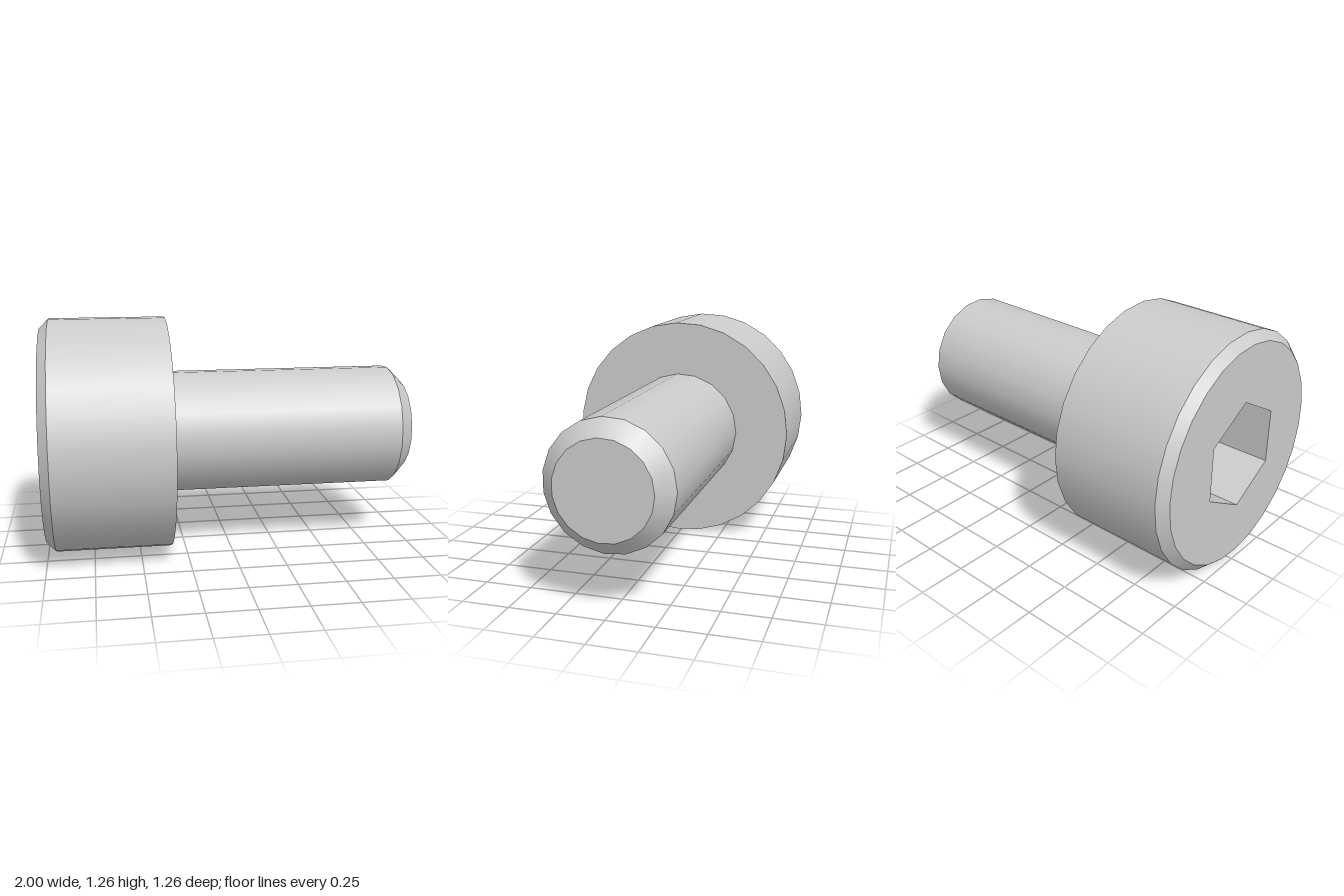
import * as THREE from 'three';
import { mergeGeometries } from 'three/addons/utils/BufferGeometryUtils.js';

const HEAD_SIDES = 27, SHANK_SIDES = 19;
const HEAD_R = 0.633, FACE_R = 0.586, SHANK_R = 0.333, TIP_R = 0.251;
const HEX_R = 0.293, HEX_DEPTH = 0.35;

// Revolve a profile about y; each profile segment is its own band so edges stay sharp
function turned(profile, sides) {
  const bands = [];
  for (let i = 0; i < profile.length - 1; i++) {
    const pair = [profile[i], profile[i + 1]].map(([r, y]) => new THREE.Vector2(r, y));
    bands.push(new THREE.LatheGeometry(pair, sides, Math.PI));
  }
  return mergeGeometries(bands);
}

// Corners of a regular polygon, starting at the given angle
function polygon(radius, sides, start) {
  return Array.from({ length: sides }, (_, i) => {
    const a = start + (i / sides) * Math.PI * 2;
    return new THREE.Vector2(radius * Math.cos(a), radius * Math.sin(a));
  });
}

export function createModel() {
  const model = new THREE.Group();
  model.name = 'socketScrew';
  const grey = new THREE.MeshStandardMaterial({ color: 0xcccccc });
  const inward = new THREE.MeshStandardMaterial({ color: 0xcccccc, flatShading: true, side: THREE.BackSide });

  // Built along y, then laid along x
  const screw = new THREE.Group();
  screw.name = 'screw';
  screw.rotation.z = -Math.PI / 2;
  screw.position.set(0, HEAD_R, 0.002);
  model.add(screw);

  const add = (name, geometry, material = grey) => {
    const mesh = new THREE.Mesh(geometry, material);
    mesh.name = name;
    screw.add(mesh);
  };

  // Head: chamfer, side and underside
  add('head', turned([[FACE_R, -1], [HEAD_R, -0.952], [HEAD_R, -0.336], [0.3, -0.336]], HEAD_SIDES));

  // Head face with the hexagonal opening
  const face = new THREE.Shape(polygon(FACE_R, HEAD_SIDES, -Math.PI / 2));
  face.holes.push(new THREE.Path(polygon(HEX_R, 6, 0)));
  add('headFace', new THREE.ShapeGeometry(face).rotateX(Math.PI / 2).translate(0, -1, 0));

  // Socket walls and floor
  add('socketWalls',
    new THREE.CylinderGeometry(HEX_R, HEX_R, HEX_DEPTH, 6, 1, true, Math.PI / 2)
      .translate(0, -1 + HEX_DEPTH / 2, 0), inward);
  add('socketFloor',
    new THREE.CircleGeometry(HEX_R, 6).rotateX(Math.PI / 2).translate(0, -1 + HEX_DEPTH, 0));

  // Shank with chamfered tip
  add('shank', turned([[SHANK_R, -0.336], [SHANK_R, 0.918], [TIP_R, 1], [0, 1]], SHANK_SIDES));

  return model;
}
